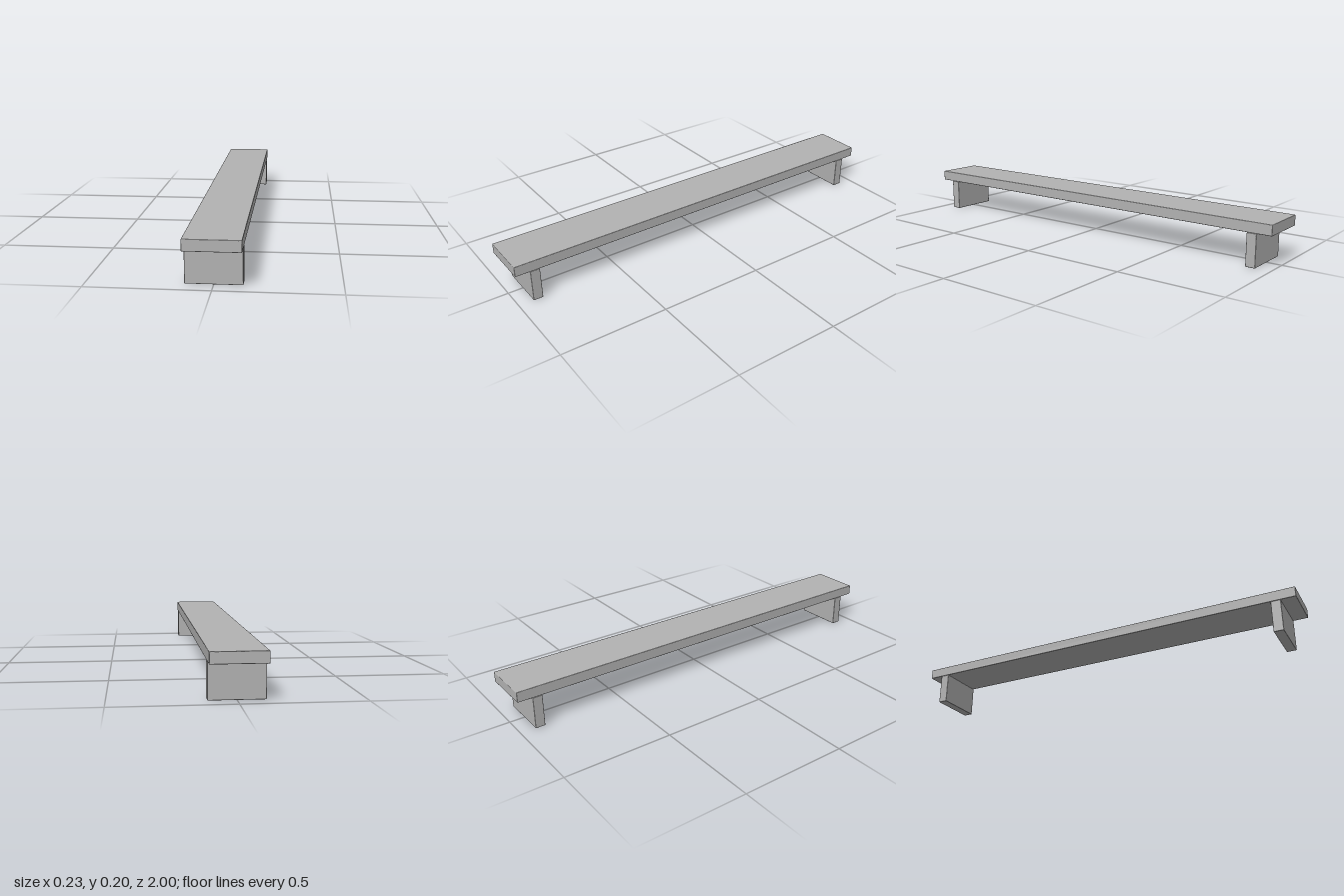
import * as THREE from 'three';
import { RoundedBoxGeometry } from 'three/addons/geometries/RoundedBoxGeometry.js';

const WIDTH = 0.23, HEIGHT = 0.2, SEAM = 0.151, BEVEL = 0.003;

export function createModel() {
  const model = new THREE.Group();
  model.name = 'bench';
  const grey = new THREE.MeshStandardMaterial({ color: 0xb2b2b2 });
  grey.name = 'grey';

  // Full-width block with softly bevelled edges, spanning y0..y1 and centred on z
  const addBlock = (name, y0, y1, depth, z) => {
    const geometry = new RoundedBoxGeometry(WIDTH, y1 - y0, depth, 1, BEVEL);
    const block = new THREE.Mesh(geometry, grey);
    block.name = name;
    block.position.set(0, (y0 + y1) / 2, z);
    model.add(block);
  };

  // Long top slab
  addBlock('seat', SEAM, HEIGHT, 2, 0);

  // Slab legs set in from each end
  for (const side of [1, -1]) {
    addBlock(side > 0 ? 'frontLeg' : 'backLeg', 0, SEAM, 0.046, side * 0.908);
  }
  return model;
}
